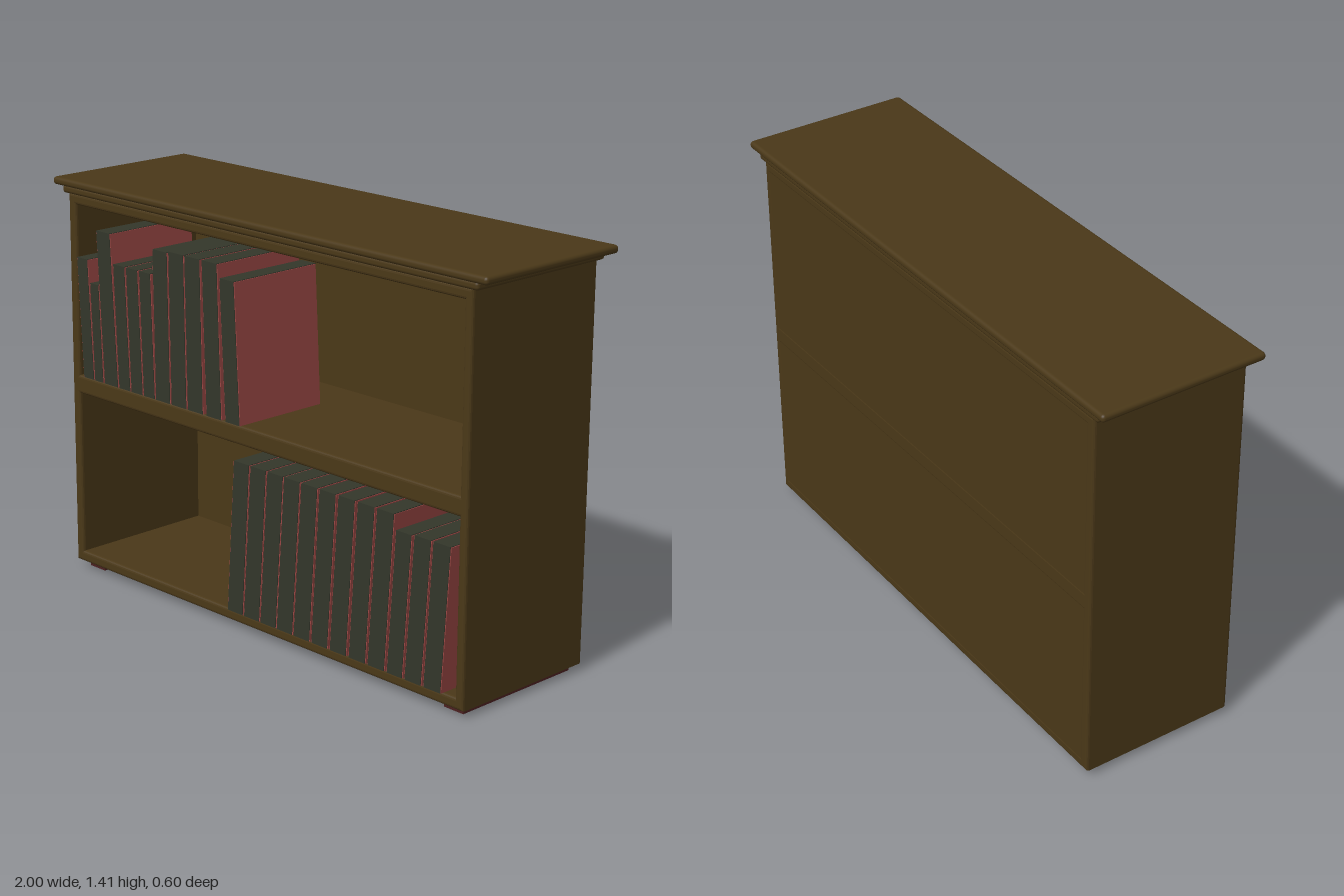
import * as THREE from 'three';
import { RoundedBoxGeometry } from 'three/addons/geometries/RoundedBoxGeometry.js';

const paint = (color) => new THREE.MeshStandardMaterial({ color });

export function createModel() {
  const model = new THREE.Group();
  const wood = paint(0x4a3818);
  const green = paint(0x33362a);
  const red = paint(0x9a4744);
  const footRed = paint(0x4a2020);

  function add(parent, name, geometry, material) {
    const mesh = new THREE.Mesh(geometry, material);
    mesh.name = name;
    parent.add(mesh);
    return mesh;
  }

  // Slides the top of a geometry sideways: x shifts by slope * (y - y0)
  function shear(geometry, slope, y0 = 0) {
    const p = geometry.attributes.position;
    for (let i = 0; i < p.count; i++) p.setX(i, p.getX(i) + slope * (p.getY(i) - y0));
    geometry.computeVertexNormals();
    return geometry;
  }

  function block(x0, x1, y0, y1, z0, z1, radius = 0) {
    const [w, h, d] = [x1 - x0, y1 - y0, z1 - z0];
    const g = radius ? new RoundedBoxGeometry(w, h, d, 3, radius) : new THREE.BoxGeometry(w, h, d);
    return g.translate((x0 + x1) / 2, (y0 + y1) / 2, (z0 + z1) / 2);
  }

  function trace(path, x0, x1, y0, y1) {
    path.moveTo(x0, y0).lineTo(x1, y0).lineTo(x1, y1).lineTo(x0, y1).closePath();
    return path;
  }

  // Carcass: sides, floor, shelf and head in one bevelled frame with two openings
  const lean = 0.009;
  const outline = trace(new THREE.Shape(), -0.943, 0.925, 0.025, 1.358);
  for (const [y0, y1] of [[0.064, 0.65], [0.716, 1.32]]) {
    outline.holes.push(trace(new THREE.Path(), -0.905, 0.892, y0, y1));
  }
  const bevel = 0.01;
  const frame = new THREE.ExtrudeGeometry(outline, {
    depth: 0.56 - 2 * bevel, bevelThickness: bevel, bevelSize: bevel, bevelOffset: -bevel, bevelSegments: 3,
  }).translate(0, 0, -0.28 + bevel);
  add(model, 'carcass', shear(frame, lean, 0.69), wood);
  add(model, 'backPanel', shear(block(-0.925, 0.91, 0.04, 1.34, -0.279, -0.262), lean, 0.69), wood);

  // Cornice: narrow moulding under an overhanging top board
  add(model, 'corniceMoulding', block(-0.962, 0.955, 1.355, 1.383, -0.287, 0.287, 0.011), wood);
  add(model, 'topBoard', block(-1, 1, 1.38, 1.407, -0.298, 0.298, 0.012), wood);

  // Runner feet
  for (const [x0, x1] of [[-0.917, -0.838], [0.81, 0.892]]) {
    add(model, 'foot', block(x0, x1, 0, 0.03, -0.25, 0.245), footRed);
  }

  // A leaning book: green block between two thin red covers
  function book(row, x0, x1, y0, y1, shift, front) {
    const group = new THREE.Group();
    group.name = 'book';
    const t = 0.003, gap = 0.001, back = front - 0.365;
    const slope = shift / (y1 - y0);
    const part = (name, a, b, inset, mat) => add(group, name,
      shear(block(a, b, y0, y1 - inset, back + inset, front - inset), slope, y0), mat);
    part('coverLeft', x0 + gap, x0 + gap + t, 0.002, red);
    part('coverRight', x1 - gap - t, x1 - gap, 0.002, red);
    part('spineAndPages', x0 + gap + t, x1 - gap - t, 0, green);
    row.add(group);
  }

  // Each book: left edge at its foot, width, top height, sideways lean
  const rows = [
    { name: 'upperBooks', y: 0.717, z: 0.284, books: [
      [-0.878, 0.06, 1.14, -0.02], [-0.818, 0.05, 1.06, -0.013], [-0.765, 0.076, 1.25, -0.026],
      [-0.688, 0.064, 1.148, -0.017], [-0.623, 0.064, 1.148, -0.015], [-0.558, 0.062, 1.148, -0.012],
      [-0.495, 0.078, 1.235, -0.004], [-0.415, 0.08, 1.24, -0.004], [-0.333, 0.08, 1.24, -0.006],
      [-0.24, 0.078, 1.24, -0.014], [-0.147, 0.074, 1.195, -0.022],
    ] },
    { name: 'lowerBooks', y: 0.066, z: 0.293, books: [
      ...[-0.136, -0.056, 0.024, 0.102, 0.182, 0.265, 0.35, 0.436, 0.52]
        .map((x) => [x, 0.079, 0.598, 0.038]),
      [0.605, 0.072, 0.548, 0.035], [0.682, 0.076, 0.552, 0.036], [0.763, 0.078, 0.552, 0.034],
    ] },
  ];
  for (const { name, y, z, books } of rows) {
    const row = new THREE.Group();
    row.name = name;
    for (const [x, w, top, shift] of books) book(row, x, x + w, y, top, shift, z);
    model.add(row);
  }

  return model;
}
